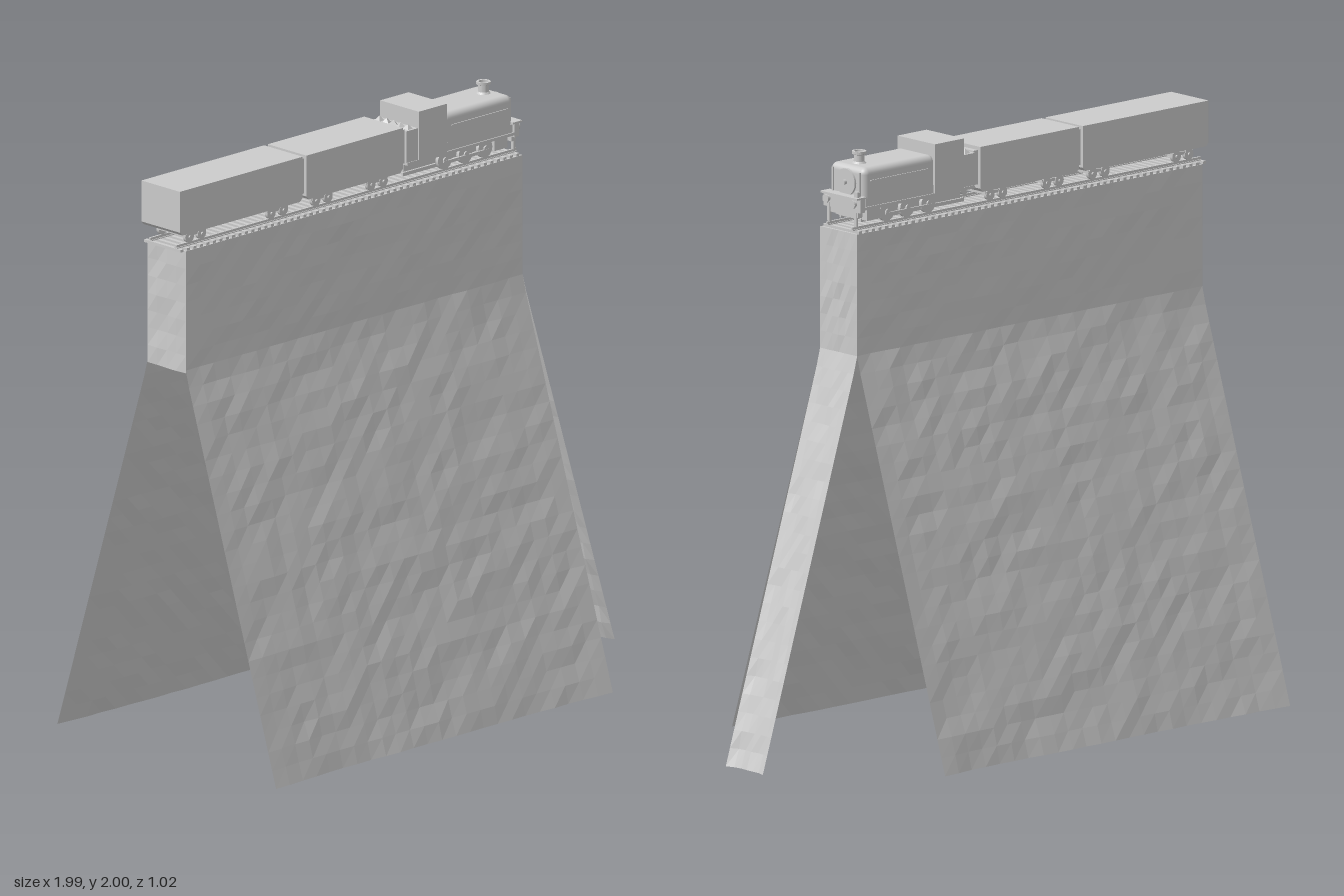
import * as THREE from 'three';
import { RoundedBoxGeometry } from 'three/addons/geometries/RoundedBoxGeometry.js';

const metal = new THREE.MeshStandardMaterial({ color: 0xcccccc });
const facet = new THREE.MeshStandardMaterial({ color: 0xcccccc, flatShading: true });
const fabric = new THREE.MeshStandardMaterial({ color: 0xcccccc, flatShading: true, side: THREE.DoubleSide });

function add(parent, name, geometry, x, y, z, material = metal) {
  const mesh = new THREE.Mesh(geometry, material);
  mesh.name = name;
  mesh.position.set(x, y, z);
  parent.add(mesh);
  return mesh;
}

// Box given by its extents in x and y, and its half width in z
function block(parent, name, x0, x1, y0, y1, halfZ, z = 0) {
  return add(parent, name, new THREE.BoxGeometry(x1 - x0, y1 - y0, halfZ * 2), (x0 + x1) / 2, (y0 + y1) / 2, z);
}

function wheel(parent, name, x, y, z, r) {
  const side = Math.sign(z);
  const g = new THREE.CylinderGeometry(r, r, 0.012, 24).rotateX(Math.PI / 2);
  add(parent, name, g, x, y, z);
  const hub = new THREE.CylinderGeometry(r * 0.3, r * 0.3, 0.006, 12).rotateX(Math.PI / 2);
  add(parent, name + 'Hub', hub, x, y, z + side * 0.008);
}

// Repeatable wrinkle height on a lattice
function wrinkle(i, j, seed) {
  const s = Math.sin(i * 12.99 + j * 78.23 + seed * 37.7) * 43758.55;
  return (s - Math.floor(s) - 0.5) * 0.006 + Math.sin(i * 0.5 + j * 1.3 + seed) * 0.0012;
}

// Hanging cloth: upright above the fold, then sloping outward to the floor
function drape(parent, name, angle, halfWidth, offset, bottom, cols, rows, seed) {
  const top = 1.747, fold = 1.33, slope = 0.41 / fold;
  const g = new THREE.PlaneGeometry(2, 1, cols, rows);
  const p = g.attributes.position;
  for (let k = 0; k < p.count; k++) {
    const i = k % (cols + 1), j = Math.floor(k / (cols + 1));
    const t = p.getX(k), y = top + (bottom - top) * (j / rows);
    const fall = Math.max(0, fold - y);
    const edge = i === 0 || i === cols || j === 0;
    const flare = 0.012 * Math.abs(t) ** 6 * fall / fold;
    const out = offset + fall * slope + flare + (edge ? 0 : wrinkle(i, j, seed));
    p.setXYZ(k, t * halfWidth, y, out);
  }
  g.rotateY(angle);
  g.computeVertexNormals();
  add(parent, name, g, 0, 0, 0, fabric);
}

function buildCloth() {
  const cloth = new THREE.Group();
  cloth.name = 'cloth';
  cloth.position.x = -0.2;
  drape(cloth, 'frontDrape', 0, 0.772, 0.089, 0, 24, 30, 1);
  drape(cloth, 'backDrape', Math.PI, 0.772, 0.089, 0, 24, 30, 2);
  drape(cloth, 'leftDrape', Math.PI / 2, 0.089, 0.772, 0, 6, 30, 3);
  drape(cloth, 'rightEndCloth', -Math.PI / 2, 0.089, 0.772, 1.33, 4, 7, 4);
  add(cloth, 'clothTop', new THREE.PlaneGeometry(1.544, 0.178).rotateX(-Math.PI / 2), 0, 1.746, 0, fabric);
  return cloth;
}

function buildTrack() {
  const track = new THREE.Group();
  track.name = 'track';
  for (let i = 0; i < 53; i++) {
    const x = -0.985 + i * 0.0296;
    block(track, 'sleeper', x - 0.007, x + 0.007, 1.746, 1.755, 0.085);
  }
  for (const z of [-0.06, 0.06]) {
    block(track, 'rail', -0.99, 0.57, 1.755, 1.758, 0.007, z);
    block(track, 'railHead', -0.99, 0.57, 1.758, 1.766, 0.0035, z);
  }
  return track;
}

// Carriage with notched lower corners and two bogies
function buildCarriage(x0, x1, bogies) {
  const car = new THREE.Group();
  car.name = 'carriage';
  const c = 0.012, s = new THREE.Shape();
  s.moveTo(x0 + c, 1.805).lineTo(x1 - c, 1.805).lineTo(x1, 1.805 + c).lineTo(x1, 1.957);
  s.lineTo(x0, 1.957).lineTo(x0, 1.805 + c).closePath();
  const body = new THREE.ExtrudeGeometry(s, { depth: 0.18, bevelEnabled: false });
  add(car, 'carriageBody', body, 0, 0, -0.09);
  for (const x of bogies) {
    block(car, 'bogie', x - 0.048, x + 0.048, 1.786, 1.796, 0.066);
    block(car, 'bogiePivot', x - 0.018, x + 0.018, 1.78, 1.806, 0.04);
    for (const dx of [-0.028, 0.028]) {
      block(car, 'axle', x + dx - 0.004, x + dx + 0.004, 1.781, 1.789, 0.06);
      for (const z of [-0.062, 0.062]) wheel(car, 'carriageWheel', x + dx, 1.784, z, 0.019);
    }
  }
  return car;
}

function buildLocomotive() {
  const loco = new THREE.Group();
  loco.name = 'locomotive';
  block(loco, 'runningBoard', 0.045, 0.55, 1.822, 1.832, 0.088);
  block(loco, 'underframe', 0.07, 0.53, 1.785, 1.822, 0.045);
  block(loco, 'coalBunker', 0.042, 0.097, 1.832, 1.94, 0.086);
  block(loco, 'cab', 0.095, 0.225, 1.832, 1.997, 0.09);
  add(loco, 'tank', new RoundedBoxGeometry(0.32, 0.135, 0.168, 4, 0.022), 0.375, 1.892, 0);
  block(loco, 'tankSide', 0.225, 0.53, 1.832, 1.86, 0.084);

  // Coal lumps
  for (let i = 0; i < 5; i++) {
    const lump = add(loco, 'coal', new THREE.ConeGeometry(0.019, 0.018, 4), 0.068, 1.947, -0.066 + i * 0.033, facet);
    lump.rotation.y = Math.PI / 4 + i * 0.4;
  }

  // Chimney with flared base and lip
  const profile = [[0, 0], [0.028, 0], [0.018, 0.012], [0.017, 0.034], [0.024, 0.037], [0.024, 0.046], [0.016, 0.046], [0.015, 0.02], [0, 0.02]];
  const chimney = new THREE.LatheGeometry(profile.map(([r, y]) => new THREE.Vector2(r, y)), 24);
  add(loco, 'chimney', chimney, 0.48, 1.954, 0, fabric);

  // Smokebox door
  const disc = (r, d) => new THREE.CylinderGeometry(r, r, d, 28).rotateZ(Math.PI / 2);
  add(loco, 'smokeboxDoor', disc(0.045, 0.01), 0.537, 1.905, 0);
  add(loco, 'doorKnob', disc(0.008, 0.016), 0.545, 1.905, 0);

  // Driving wheels with coupling rods
  for (const z of [-0.064, 0.064]) {
    for (const x of [0.235, 0.33, 0.42]) wheel(loco, 'drivingWheel', x, 1.798, z, 0.032);
    block(loco, 'couplingRod', 0.225, 0.43, 1.79, 1.796, 0.003, z + Math.sign(z) * 0.009);
    block(loco, 'sideFrame', 0.06, 0.52, 1.775, 1.787, 0.004, z * 0.75);
    block(loco, 'cylinderBlock', 0.455, 0.515, 1.782, 1.822, 0.012, z);
    block(loco, 'handrail', 0.25, 0.51, 1.915, 1.919, 0.003, z * 1.32);
    // Guard irons, buffers and front handrails
    block(loco, 'guardIron', 0.55, 0.558, 1.766, 1.83, 0.006, z);
    add(loco, 'bufferStock', disc(0.009, 0.024), 0.558, 1.843, z);
    add(loco, 'bufferHead', disc(0.014, 0.005), 0.57, 1.843, z);
    block(loco, 'frontRail', 0.535, 0.541, 1.86, 1.945, 0.003, z);
  }
  block(loco, 'bufferBeam', 0.535, 0.557, 1.815, 1.862, 0.088);
  block(loco, 'beamLip', 0.53, 0.572, 1.86, 1.866, 0.088);
  block(loco, 'lowerBeam', 0.535, 0.555, 1.798, 1.815, 0.075);
  block(loco, 'lamp', 0.548, 0.56, 1.866, 1.884, 0.008, -0.07);
  return loco;
}

export function createModel() {
  const model = new THREE.Group();
  model.name = 'trainOnDrapedTrack';
  model.add(buildCloth(), buildTrack(), buildLocomotive());
  model.add(buildCarriage(-1, -0.437, [-0.905, -0.53]));
  model.add(buildCarriage(-0.42, 0.022, [-0.325, -0.072]));
  block(model, 'rearGangway', -0.437, -0.42, 1.825, 1.945, 0.078);
  block(model, 'frontGangway', 0.022, 0.042, 1.83, 1.945, 0.078);
  return model;
}
